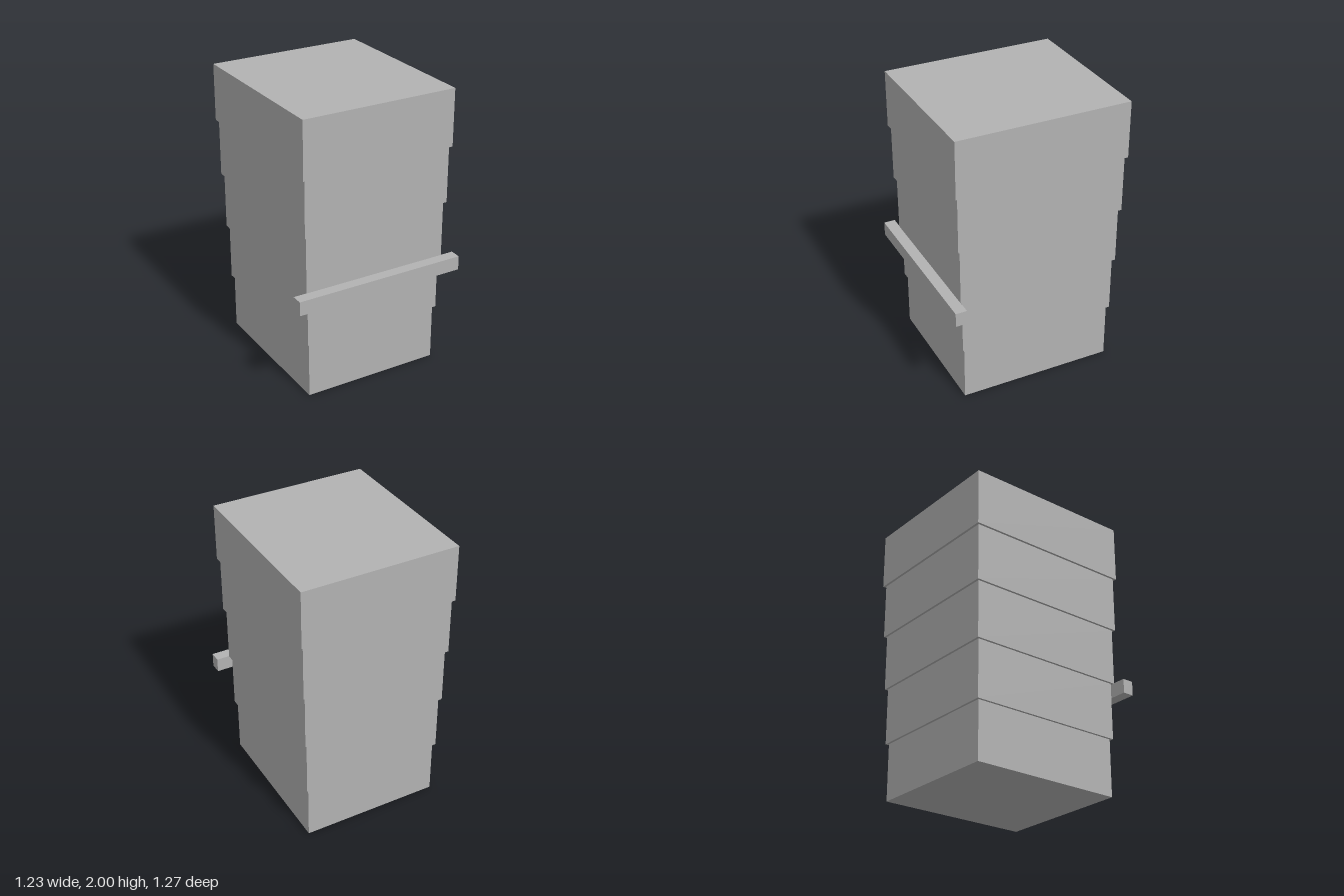
import * as THREE from 'three';

export function createModel() {
  const model = new THREE.Group();
  model.name = 'steppedTower';
  const grey = new THREE.MeshStandardMaterial({ color: 0xb2b2b2 });
  grey.name = 'plain grey';

  function addBox(name, w, h, d, x, y, z) {
    const mesh = new THREE.Mesh(new THREE.BoxGeometry(w, h, d), grey);
    mesh.name = name;
    mesh.position.set(x, y, z);
    model.add(mesh);
  }

  // Five stacked tiers, each slightly wider than the one below
  const tiers = 5, tierHeight = 2 / tiers;
  for (let i = 0; i < tiers; i++) {
    const halfX = 0.491 + i * 0.016;
    const halfZ = 0.546 + i * 0.016;
    addBox(`tier${i + 1}`, halfX * 2, tierHeight, halfZ * 2, 0, (i + 0.5) * tierHeight, -0.022);
  }

  // Horizontal bar across the front, below the middle tier
  addBox('frontBar', 1.232, 0.1, 0.08, 0, 0.753, 0.594);

  return model;
}
